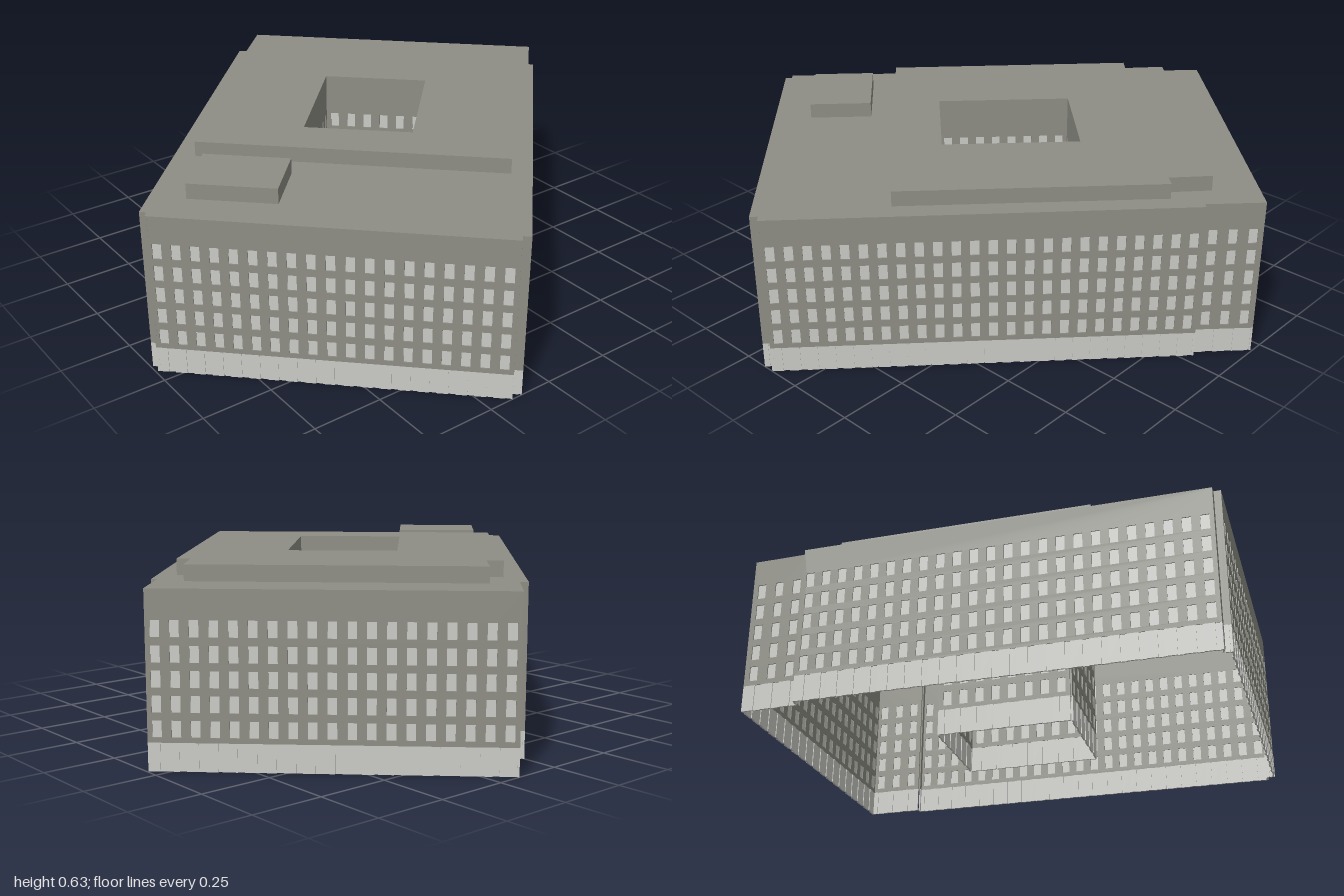
import * as THREE from 'three';
import { mergeGeometries } from 'three/addons/utils/BufferGeometryUtils.js';

const stone = new THREE.MeshStandardMaterial({ color: 0x8e8e85, side: THREE.DoubleSide });
stone.name = 'grey stone';
const glass = new THREE.MeshStandardMaterial({ color: 0xcbcbc7, side: THREE.DoubleSide });
glass.name = 'pale glazing';

const BASE = 0.093, ROOF = 0.578, TOP = 0.632;
const PITCH = 0.06, WIN_W = 0.03, WIN_H = 0.054, THICK = 0.006;
const ROWS = [0.11, 0.189, 0.268, 0.347, 0.427];

// Plan outlines as [x, z]
const outline = [
  [-0.2, -0.995], [-0.055, -0.855], [-0.04, -0.868], [1, 0.12], [0.98, 0.14], [1, 0.16],
  [0.19, 0.992], [0.173, 0.975], [0.155, 0.992], [-0.875, 0], [-0.857, -0.022], [-1, -0.165],
];
const court = [[-0.06, -0.325], [-0.32, -0.05], [0.025, 0.285], [0.285, 0.01]];
const upper = [
  [-0.15, -0.815], [-0.04, -0.715], [-0.01, -0.75], [0.645, -0.12],
  [-0.095, 0.65], [-0.75, 0.02], [-0.71, -0.02], [-0.82, -0.12],
];
const hut = [[0.21, 0.46], [0.37, 0.615], [0.165, 0.83], [0.005, 0.675]];

function mesh(name, geometry, material) {
  const m = new THREE.Mesh(geometry, material);
  m.name = name;
  return m;
}

const planPoints = (pts) => pts.map(([x, z]) => new THREE.Vector2(x, -z));

function planShape(pts, hole) {
  const s = new THREE.Shape(planPoints(pts));
  if (hole) s.holes.push(new THREE.Path(planPoints(hole)));
  return s;
}

// Flat-topped block standing on the roof
function roofBlock(name, pts, hole) {
  const g = new THREE.ExtrudeGeometry(planShape(pts, hole), { depth: TOP - ROOF, bevelEnabled: false });
  g.rotateX(-Math.PI / 2).translate(0, ROOF, 0);
  return mesh(name, g, stone);
}

function rectPath(x, y, w, h) {
  return new THREE.Path([
    new THREE.Vector2(x, y), new THREE.Vector2(x, y + h),
    new THREE.Vector2(x + w, y + h), new THREE.Vector2(x + w, y),
  ]);
}

// One facade between two plan corners, with its outside facing local +z
function facade(name, a, b) {
  const dx = b[0] - a[0], dz = b[1] - a[1], len = Math.hypot(dx, dz);
  const group = new THREE.Group();
  group.name = name;
  group.position.set(b[0], 0, b[1]);
  group.rotation.y = Math.atan2(dz, -dx);

  const wall = new THREE.Shape([
    new THREE.Vector2(0, BASE), new THREE.Vector2(len, BASE),
    new THREE.Vector2(len, ROOF), new THREE.Vector2(0, ROOF),
  ]);
  const cols = len > 0.1 ? Math.round(len / PITCH) : 0;
  const pitch = len / Math.max(cols, 1);
  const panes = [], panels = [];
  for (let c = 0; c < cols; c++) {
    const mid = (c + 0.5) * pitch;
    for (const y of ROWS) {
      wall.holes.push(rectPath(mid - WIN_W / 2, y, WIN_W, WIN_H));
      panes.push(new THREE.PlaneGeometry(WIN_W, WIN_H).translate(mid, y + WIN_H / 2, -THICK * 0.6));
    }
  }
  // Ground floor: wide panels alternating with narrow recessed ones
  for (let c = 0; c < Math.max(cols, 1); c++) {
    const wide = pitch * 0.64, narrow = pitch - wide;
    panels.push(new THREE.BoxGeometry(wide, BASE, THICK)
      .translate(c * pitch + wide / 2, BASE / 2, -THICK / 2));
    panels.push(new THREE.BoxGeometry(narrow, BASE, THICK)
      .translate(c * pitch + wide + narrow / 2, BASE / 2, -THICK));
  }
  const g = new THREE.ExtrudeGeometry(wall, { depth: THICK, bevelEnabled: false });
  group.add(mesh('wall', g.translate(0, 0, -THICK), stone));
  if (panes.length) group.add(mesh('windows', mergeGeometries(panes), glass));
  group.add(mesh('groundFloorPanels', mergeGeometries(panels), glass));
  return group;
}

export function createModel() {
  const model = new THREE.Group();
  model.name = 'courtyardBuilding';

  // Outer and courtyard facades
  outline.forEach((p, i) => model.add(facade('outerFacade', p, outline[(i + 1) % outline.length])));
  court.forEach((p, i) => model.add(facade('courtyardFacade', p, court[(i + 1) % court.length])));

  // Main roof, open over the courtyard
  const roof = new THREE.ShapeGeometry(planShape(outline, court));
  model.add(mesh('roof', roof.rotateX(-Math.PI / 2).translate(0, ROOF, 0), stone));

  // Set-back upper storey and small plant room
  model.add(roofBlock('upperStorey', upper, court));
  model.add(roofBlock('plantRoom', hut));
  return model;
}
